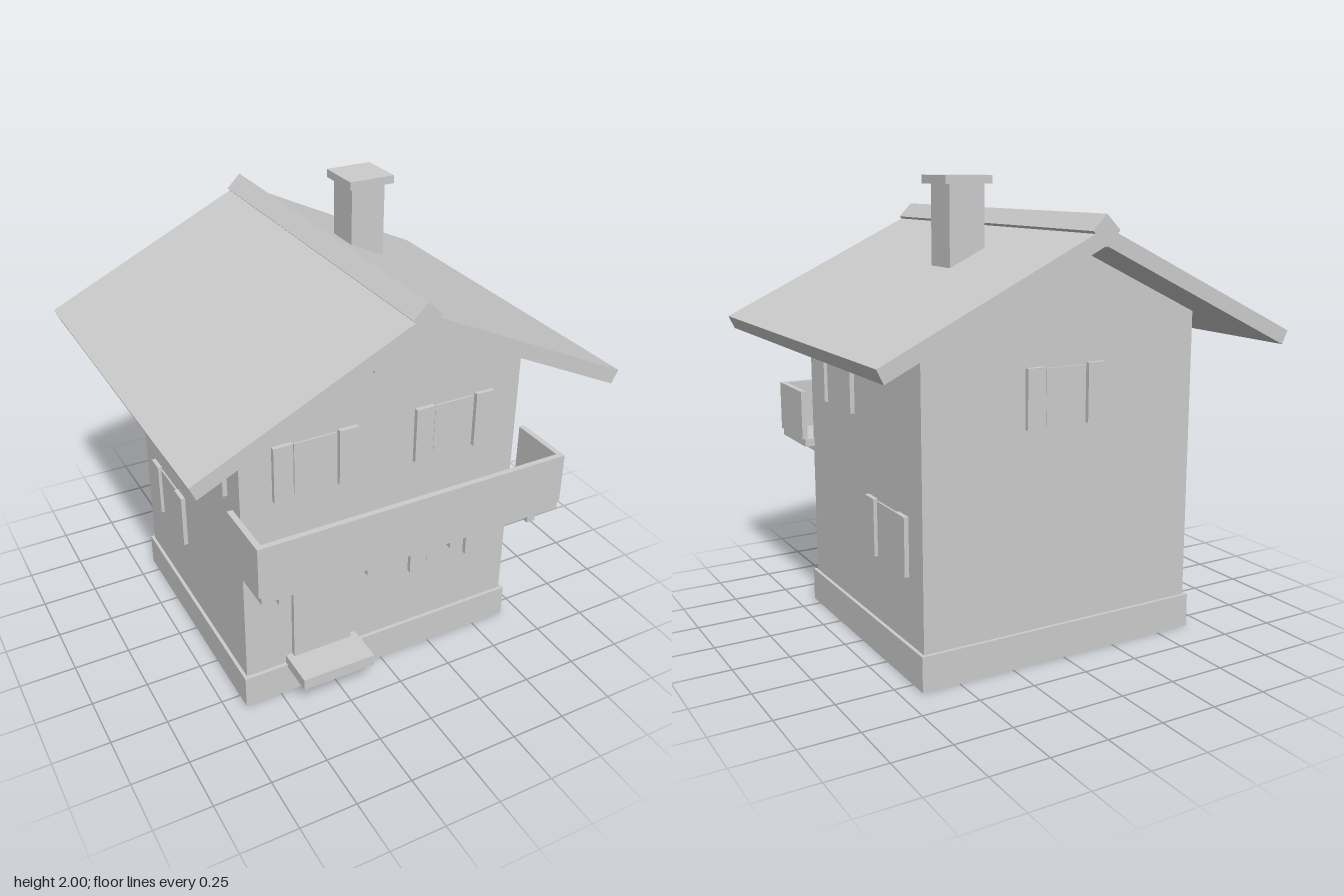
import * as THREE from 'three';

export function createModel() {
  const house = new THREE.Group();
  house.name = 'chalet';
  const grey = new THREE.MeshStandardMaterial({ color: 0xcccccc });
  grey.name = 'plain grey';

  const add = (name, geometry, parent = house) => {
    const mesh = new THREE.Mesh(geometry, grey);
    mesh.name = name;
    parent.add(mesh);
    return mesh;
  };
  // Box given by its limits on each axis
  const box = (name, [x0, x1], [y0, y1], [z0, z1], parent) => {
    const mesh = add(name, new THREE.BoxGeometry(x1 - x0, y1 - y0, z1 - z0), parent);
    mesh.position.set((x0 + x1) / 2, (y0 + y1) / 2, (z0 + z1) / 2);
    return mesh;
  };
  // Front outline pushed along z
  const prism = (name, points, z0, z1) => {
    const shape = new THREE.Shape(points.map(([x, y]) => new THREE.Vector2(x, y)));
    const geometry = new THREE.ExtrudeGeometry(shape, { depth: z1 - z0, bevelEnabled: false });
    return add(name, geometry.translate(0, 0, z0));
  };

  const front = 0.555, back = -0.57, side = 0.65;

  // Foundation and gabled walls
  box('foundation', [-0.665, 0.665], [0, 0.15], [-0.585, 0.572]);
  prism('walls', [[-side, 0.15], [side, 0.15], [side, 1.43], [0, 1.741], [-side, 1.43]], back, front);

  // Roof with its ridge beam
  prism('roof', [
    [0, 1.741], [0.92, 1.3], [0.947, 1.357], [0, 1.811], [-0.947, 1.357], [-0.92, 1.3],
  ], -0.835, 0.82);
  const ridge = box('ridge', [-0.044, 0.044], [1.753, 1.841], [-0.835, 0.82]);
  ridge.rotation.z = Math.PI / 4;

  // Chimney
  box('chimney', [0.21, 0.37], [1.55, 1.965], [-0.285, -0.125]);
  box('chimneyCap', [0.187, 0.4], [1.965, 2], [-0.311, -0.1]);

  // Windows with a pair of shutters, facing +z before turning
  const addWindow = (name, x, y, z, turn) => {
    const group = new THREE.Group();
    group.name = name;
    box('pane', [-0.093, 0.093], [-0.117, 0.117], [-0.01, 0.008], group);
    for (const s of [-1, 1]) {
      const shutter = box('shutter', [-0.0425, 0.0425], [-0.125, 0.125], [-0.005, 0.02], group);
      shutter.position.x = s * 0.145;
    }
    group.position.set(x, y, z);
    group.rotation.y = turn;
    house.add(group);
  };
  const lower = 0.56, upper = 1.13;
  addWindow('frontLowerWindow', 0.323, lower, front, 0);
  addWindow('backWindow', 0, upper, back, Math.PI);
  for (const s of [-1, 1]) {
    addWindow('frontUpperWindow', s * 0.323, upper, front, 0);
    addWindow('sideUpperWindow', s * side, upper, 0.248, s * Math.PI / 2);
    addWindow('sideLowerWindow', s * side, lower, -0.26, s * Math.PI / 2);
  }
  box('gableWindow', [-0.068, 0.068], [1.47, 1.605], [front - 0.01, front + 0.015]);

  // Door and step
  box('door', [-0.435, -0.16], [0.19, 0.7], [front - 0.01, front + 0.022]);
  box('doorstep', [-0.465, -0.127], [0.137, 0.19], [front - 0.01, 0.73]);

  // Balcony on four joists
  box('balconyFloor', [-0.695, 0.695], [0.76, 0.795], [front - 0.01, 0.835]);
  box('balconyFront', [-0.705, 0.705], [0.795, 1.02], [0.81, 0.835]);
  for (const s of [-1, 1]) {
    const rail = box('balconySide', [-0.0125, 0.0125], [0.795, 1.02], [front, 0.81]);
    rail.position.x = s * 0.6925;
  }
  for (const x of [-0.588, -0.196, 0.196, 0.588]) {
    box('joist', [x - 0.02, x + 0.02], [0.705, 0.76], [front - 0.01, 0.805]);
  }

  return house;
}
